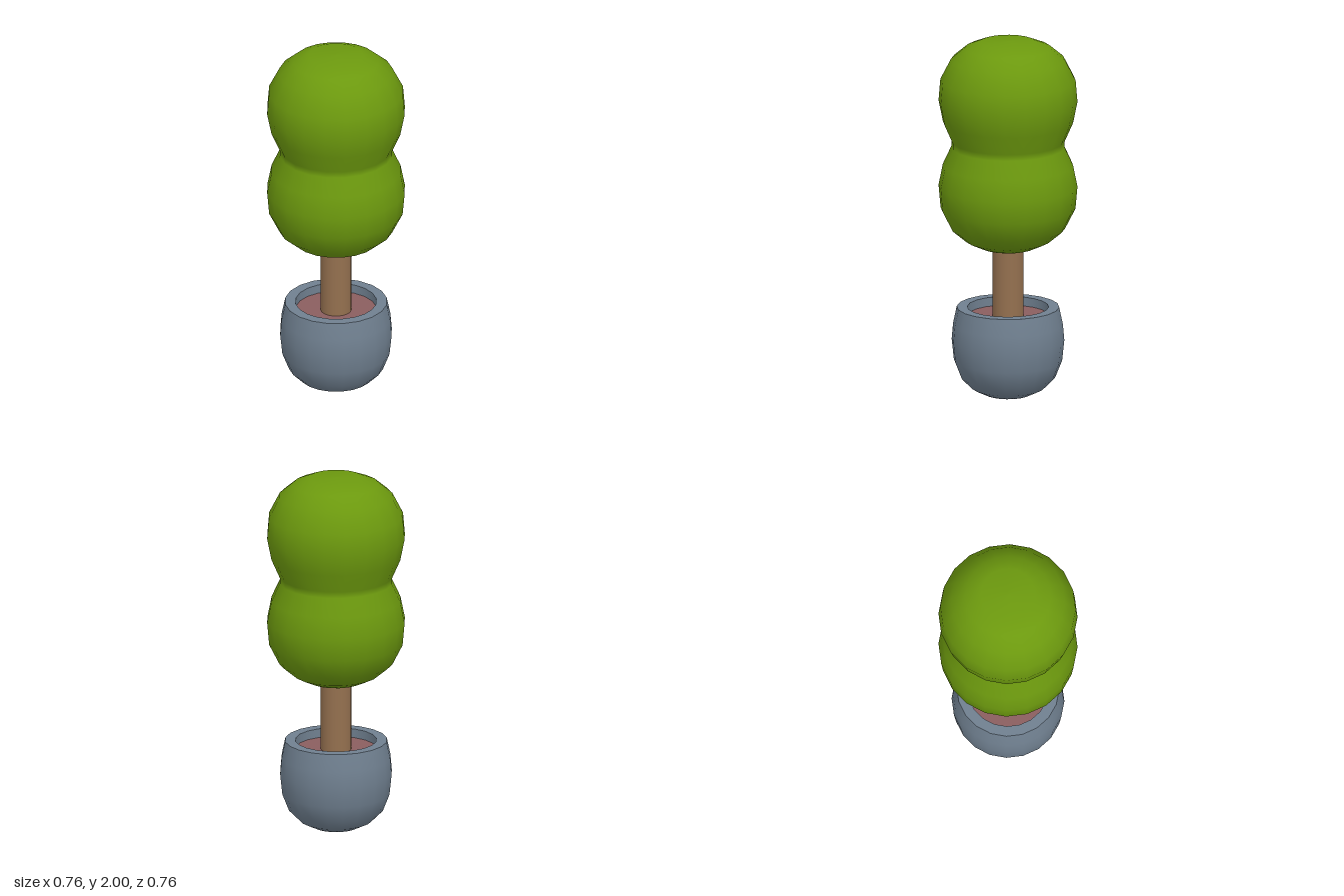
import * as THREE from 'three';

const SIDES = 20;
const TURN = THREE.MathUtils.degToRad(4.3);

export function createModel() {
  const group = new THREE.Group();
  group.name = 'pottedTopiary';

  const material = (name, color) => {
    const m = new THREE.MeshStandardMaterial({ color });
    m.name = name;
    return m;
  };
  const leafGreen = material('leaf green', 0x6c990e);
  const barkBrown = material('bark brown', 0x94704f);
  const potGrey = material('pot grey', 0x708090);
  const soilRed = material('soil red', 0x8a5e5f);

  const add = (name, geometry, mat, y = 0) => {
    const mesh = new THREE.Mesh(geometry, mat);
    mesh.name = name;
    mesh.position.y = y;
    group.add(mesh);
  };
  // Profiles run from bottom to top as [radius, height]
  const lathe = (profile) => new THREE.LatheGeometry(
    profile.map(([r, y]) => new THREE.Vector2(r, y)), SIDES, TURN);

  // Two merged leaf balls with a soft waist
  add('foliage', lathe([
    [0, 0.83], [0.15, 0.835], [0.235, 0.875], [0.312, 0.94], [0.37, 1.055],
    [0.381, 1.18], [0.357, 1.3], [0.311, 1.4], [0.311, 1.435], [0.357, 1.54],
    [0.381, 1.66], [0.371, 1.78], [0.312, 1.895], [0.235, 1.96], [0.15, 1.995], [0, 2],
  ]), leafGreen);

  // Trunk, sunk into the foliage
  add('trunk', new THREE.CylinderGeometry(0.085, 0.085, 0.52, SIDES, 1, true), barkBrown, 0.68);

  // Rounded pot: smooth outside, sharp flat rim, straight inner wall
  add('potBody', lathe([
    [0, 0], [0.125, 0.003], [0.2, 0.04], [0.26, 0.1], [0.297, 0.195],
    [0.309, 0.31], [0.301, 0.4], [0.281, 0.495],
  ]), potGrey);
  add('potRim', lathe([[0.281, 0.495], [0.223, 0.495]]), potGrey);
  add('potInnerWall', lathe([[0.223, 0.495], [0.223, 0.44]]), potGrey);

  // Soil surface
  add('soil', lathe([[0.223, 0.445], [0, 0.445]]), soilRed);

  return group;
}
